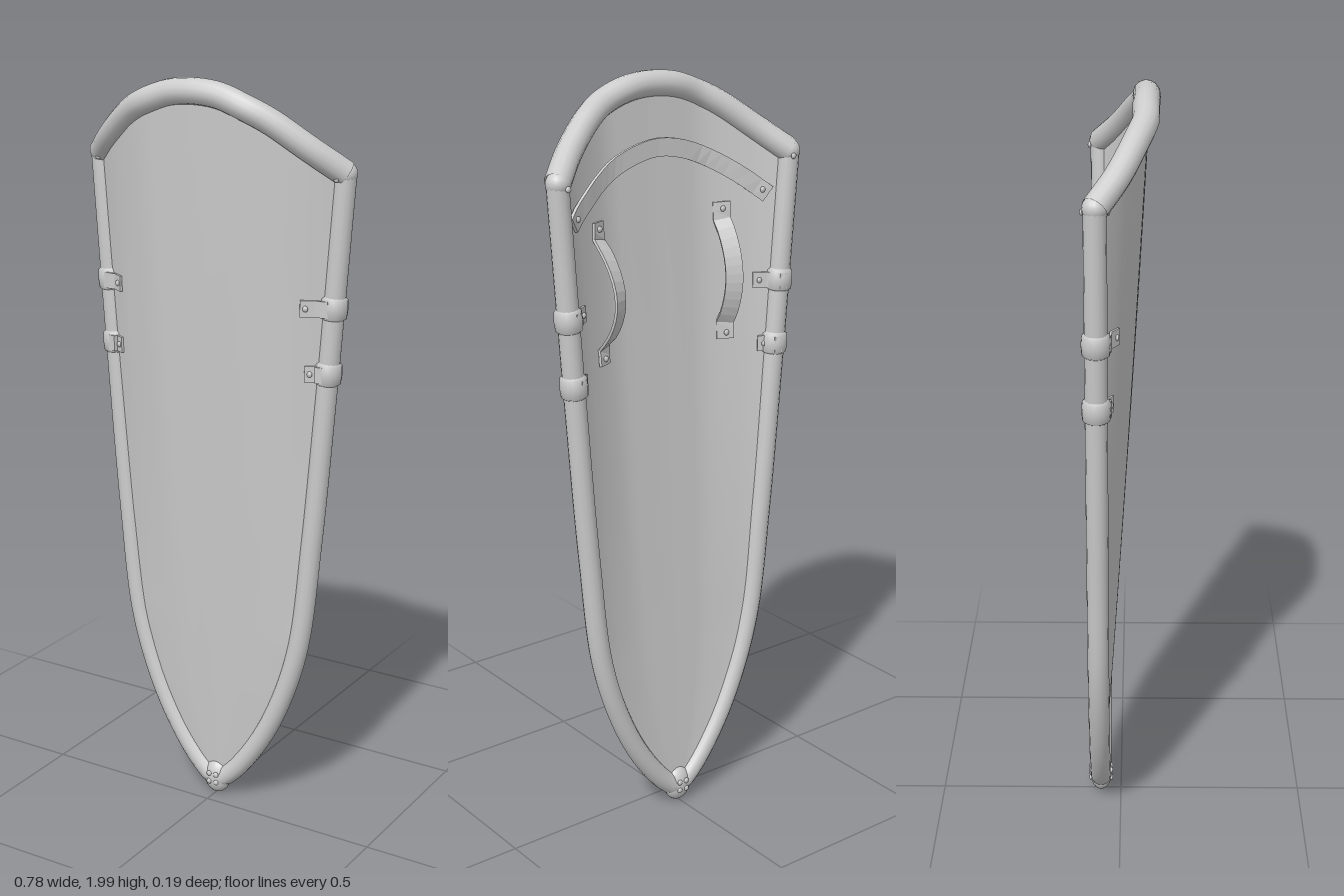
import * as THREE from 'three';

// Piecewise-linear lookup in [key, value] pairs
function look(table, k) {
  for (let i = 1; i < table.length; i++) {
    const [a, va] = table[i - 1], [b, vb] = table[i];
    if (k <= b) return va + (vb - va) * Math.max(0, (k - a) / (b - a));
  }
  return table[table.length - 1][1];
}

const Y0 = 0.045, YC = 1.775, ZR = -0.056;
// Half width of the rim centreline by height
const SIDE = [[Y0, 0], [0.075, 0.045], [0.18, 0.125], [0.32, 0.195], [0.5, 0.25], [0.8, 0.285], [1.2, 0.318], [YC, 0.36]];
// Bulge and crown across the half width
const BULGE = [[0, 1], [0.4, 0.96], [0.56, 0.8], [0.8, 0.44], [1, 0]];
const CROWN = [[0, 0.187], [0.2, 0.18], [0.4, 0.155], [0.56, 0.125], [0.8, 0.06], [1, 0]];

const crown = (u) => look(CROWN, Math.abs(u));
function boardPoint(u, v, off = 0) {
  const base = Y0 + (YC - Y0) * v;
  return new THREE.Vector3(
    u * look(SIDE, base),
    base + crown(u) * v ** 3,
    ZR + 0.12 * v * look(BULGE, Math.abs(u)) + off
  );
}
// Point on the board above a given x, y
function boardAt(x, y, off) {
  let v = y / 2, u = 0;
  for (let i = 0; i < 12; i++) {
    u = THREE.MathUtils.clamp(x / look(SIDE, Y0 + (YC - Y0) * v), -1, 1);
    v = (y - Y0 - crown(u) * v ** 3) / (YC - Y0);
  }
  return boardPoint(u, v, off);
}

// One curved face of the board
function boardFace(off, flip) {
  const cols = 24, rows = 48, pos = [], idx = [];
  for (let j = 0; j <= rows; j++)
    for (let i = 0; i <= cols; i++) pos.push(...boardPoint((i / cols) * 2 - 1, j / rows, off).toArray());
  for (let j = 0; j < rows; j++)
    for (let i = 0; i < cols; i++) {
      const a = j * (cols + 1) + i, b = a + 1, c = a + cols + 1, d = c + 1;
      if (flip) idx.push(a, c, b, b, c, d);
      else idx.push(a, b, c, b, d, c);
    }
  const g = new THREE.BufferGeometry();
  g.setAttribute('position', new THREE.Float32BufferAttribute(pos, 3));
  g.setIndex(idx);
  g.computeVertexNormals();
  return g;
}

// Flat strap with a rectangular section, swept through points
function strap(pts, side, width, thick) {
  const pos = [], idx = [], n = pts.length;
  pts.forEach((p, i) => {
    const t = pts[Math.min(i + 1, n - 1)].clone().sub(pts[Math.max(i - 1, 0)]).normalize();
    const s = side.clone().addScaledVector(t, -side.dot(t)).normalize();
    const m = t.clone().cross(s);
    for (const [a, b] of [[-1, -1], [1, -1], [1, 1], [-1, 1]])
      pos.push(...p.clone().addScaledVector(s, a * width / 2).addScaledVector(m, b * thick / 2).toArray());
  });
  for (let i = 0; i < n - 1; i++)
    for (let k = 0; k < 4; k++) {
      const a = i * 4 + k, b = i * 4 + (k + 1) % 4;
      idx.push(a, b, a + 4, b, b + 4, a + 4);
    }
  const e = (n - 1) * 4;
  idx.push(0, 2, 1, 0, 3, 2, e, e + 1, e + 2, e, e + 2, e + 3);
  const g = new THREE.BufferGeometry();
  g.setAttribute('position', new THREE.Float32BufferAttribute(pos, 3));
  g.setIndex(idx);
  const flat = g.toNonIndexed();
  flat.computeVertexNormals();
  return flat;
}

export function createModel() {
  const group = new THREE.Group();
  const grey = new THREE.MeshStandardMaterial({ color: 0xcccccc, side: THREE.DoubleSide });
  grey.name = 'light grey';
  const add = (name, geo, p) => {
    const m = new THREE.Mesh(geo, grey);
    m.name = name;
    if (p) m.position.copy(p);
    group.add(m);
    return m;
  };
  const V = (x, y, z) => new THREE.Vector3(x, y, z);
  const rivetGeo = new THREE.SphereGeometry(0.008, 10, 6);
  const rivet = (p) => add('rivet', rivetGeo, p).scale.set(1, 1, 0.6);

  // Curved board
  add('boardFront', boardFace(0.008, false));
  add('boardBack', boardFace(-0.01, true));

  // Rim along both sides, round the tip
  const half = SIDE.slice(1).map(([y, x]) => V(x, y, ZR));
  const path = [...half.slice().reverse().map((p) => V(-p.x, p.y, p.z)), V(0, Y0, ZR), ...half];
  add('sideRim', new THREE.TubeGeometry(new THREE.CatmullRomCurve3(path), 120, 0.028, 14));
  add('tipCap', new THREE.SphereGeometry(1, 20, 14), V(0, 0.052, ZR)).scale.set(0.04, 0.05, 0.031);

  // Arched top rim
  const us = [-1, -0.8, -0.56, -0.4, -0.2, 0, 0.2, 0.4, 0.56, 0.8, 1];
  const arch = new THREE.CatmullRomCurve3(us.map((u) => boardPoint(u, 1)));
  add('topRim', new THREE.TubeGeometry(arch, 60, 0.033, 14));

  // Tip rivets, front and back
  for (const x of [-0.011, 0.011])
    for (const y of [0.042, 0.066])
      for (const s of [-1, 1]) rivet(V(x, y, ZR + s * 0.029));

  const clampProfile = [[0.026, -0.03], [0.034, -0.024], [0.036, 0], [0.034, 0.024], [0.026, 0.03]]
    .map(([r, y]) => new THREE.Vector2(r, y));
  const clampGeo = new THREE.LatheGeometry(clampProfile, 18);

  for (const s of [-1, 1]) {
    // Rim corners
    add('rimCorner', new THREE.SphereGeometry(0.031, 16, 12), V(s * 0.358, YC, ZR));
    for (const f of [-1, 1]) rivet(V(s * 0.35, 1.765, ZR + f * 0.031));

    // Rim clamps with riveted tabs on both faces
    for (const [y, reach] of [[1.44, 0.268], [1.27, 0.276]]) {
      const x = look(SIDE, y);
      add('rimClamp', clampGeo, V(s * x, y, ZR)).rotation.z = -s * 0.073;
      for (const f of [-1, 1]) {
        const off = f > 0 ? 0.013 : -0.015;
        const pts = [V(s * x, y, ZR + f * 0.032), V(s * (x - 0.018), y, ZR + f * 0.031 + 0.004)];
        for (const px of [0.3, reach]) pts.push(boardAt(s * px, y, off));
        add('clampTab', strap(pts, V(0, 1, 0), 0.042, 0.006));
        rivet(boardAt(s * (reach + 0.013), y, off + f * 0.004));
      }
    }

    // Bowed vertical grip strap on the back
    const bow = s > 0 ? 0.08 : 0.045, gx = s * 0.195, pts = [];
    for (let i = 0; i <= 16; i++) {
      const t = i / 16, k = THREE.MathUtils.clamp((t - 0.13) / 0.74, 0, 1);
      pts.push(boardAt(gx, 1.29 + 0.36 * t, -0.014 - bow * Math.sin(Math.PI * k) ** 0.8));
    }
    add('gripStrap', strap(pts, V(1, 0, -s * 0.5), 0.046, 0.007));
    for (const y of [1.307, 1.633]) rivet(boardAt(gx, y, -0.02));
  }

  // Arched band across the upper back
  const band = [];
  for (let i = 0; i <= 24; i++) {
    const x = -0.305 + (0.61 * i) / 24;
    const k = Math.abs(x) / 0.305;
    const y = 1.665 + 0.145 * (1 - k ** 1.8);
    band.push(boardAt(x, y, -0.016 - 0.014 * (1 - k ** 4)));
  }
  add('backBand', strap(band, V(0, 1, 0), 0.046, 0.008));
  for (const s of [-1, 1]) rivet(boardAt(s * 0.29, 1.678, -0.024));

  return group;
}
